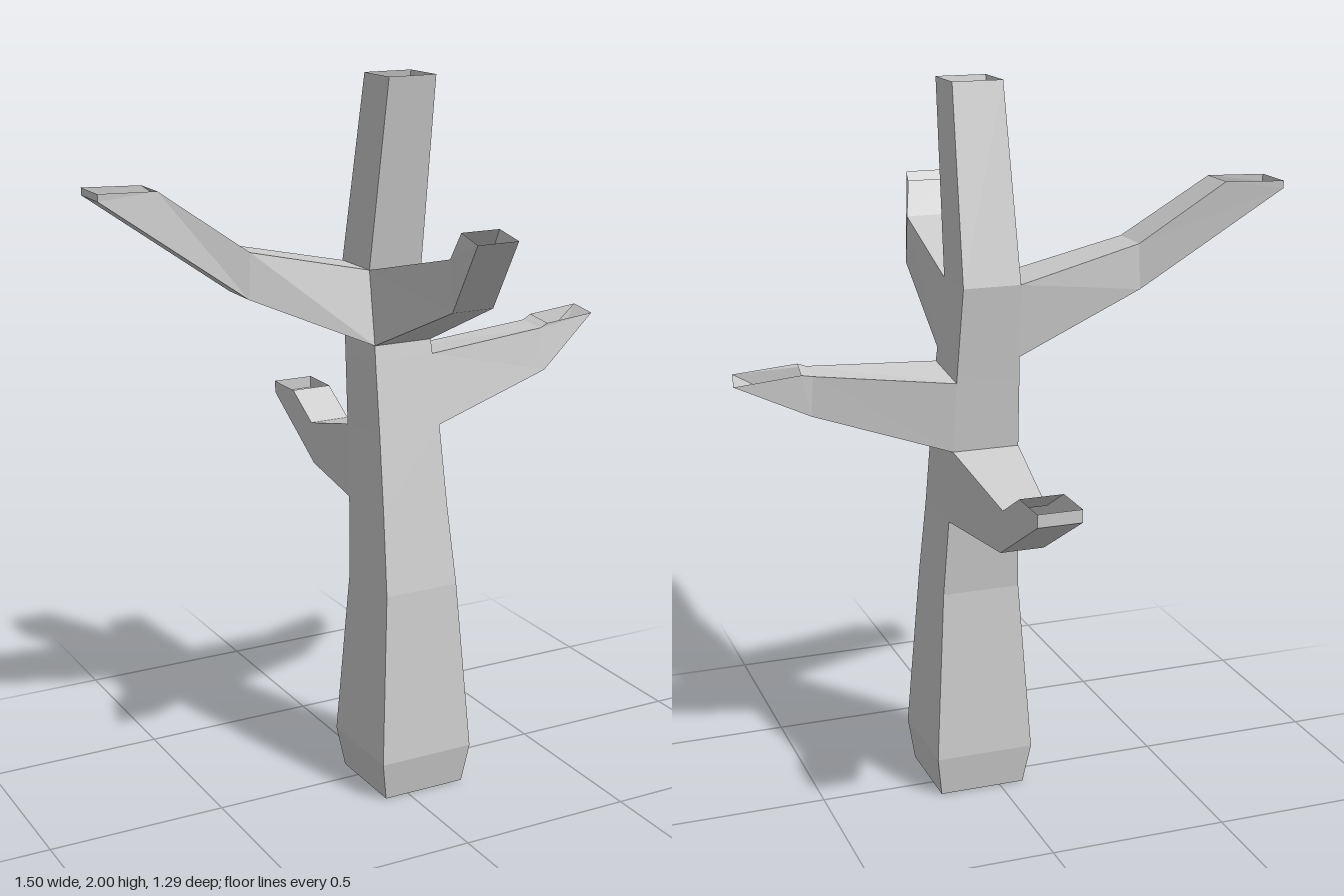
import * as THREE from 'three';

// Skin a chain of four-cornered rings (corners counter-clockwise seen from the far end).
// skip(i, s) leaves out side s of segment i; cap closes the first ring.
function loft(name, rings, material, { skip = () => false, cap = false } = {}) {
  const pos = [];
  const quad = (a, b, c, d) => pos.push(...a, ...b, ...c, ...a, ...c, ...d);
  for (let i = 0; i < rings.length - 1; i++) {
    for (let s = 0; s < 4; s++) {
      if (skip(i, s)) continue;
      const t = (s + 1) % 4;
      quad(rings[i][s], rings[i][t], rings[i + 1][t], rings[i + 1][s]);
    }
  }
  if (cap) quad(rings[0][3], rings[0][2], rings[0][1], rings[0][0]);
  const geo = new THREE.BufferGeometry();
  geo.setAttribute('position', new THREE.Float32BufferAttribute(pos, 3));
  geo.computeVertexNormals();
  const mesh = new THREE.Mesh(geo, material);
  mesh.name = name;
  return mesh;
}

export function createModel() {
  const bark = new THREE.MeshStandardMaterial({ color: 0xcccccc, side: THREE.DoubleSide, flatShading: true });
  bark.name = 'pale grey bark';
  const tree = new THREE.Group();
  tree.name = 'bareTree';

  // Trunk rings: x min, x max, z back, z front, y back, y front
  const trunk = [
    [-0.07, 0.175, -0.08, 0.17, 0, 0],
    [-0.09, 0.19, -0.095, 0.19, 0.115, 0.115],
    [-0.06, 0.16, -0.065, 0.155, 0.6, 0.6],
    [-0.05, 0.15, -0.085, 0.118, 0.82, 0.82],
    [-0.042, 0.145, -0.108, 0.08, 1.025, 1.045],
    [-0.037, 0.14, -0.128, 0.047, 1.22, 1.24],
    [-0.035, 0.138, -0.135, 0.04, 1.28, 1.28],
    [-0.03, 0.13, -0.157, 0, 1.48, 1.48],
    [-0.02, 0.12, -0.045, 0.09, 2, 2],
  ].map(([x0, x1, z0, z1, yb, yf]) => [[x0, yf, z1], [x1, yf, z1], [x1, yb, z0], [x0, yb, z0]]);

  // Branches grow from trunk segment `seg`, side `s` (0 front, 1 left, 2 back, 3 right);
  // each ring is bottom, bottom, top, top. The ends are hollow.
  const branches = [
    { name: 'frontBranch', seg: 6, s: 0, rings: [
      [[-0.01, 1.44, 0.405], [0.11, 1.44, 0.405], [0.11, 1.575, 0.39], [-0.01, 1.575, 0.39]],
      [[-0.085, 1.66, 0.645], [0.03, 1.66, 0.645], [0.075, 1.66, 0.485], [-0.035, 1.66, 0.485]],
    ] },
    { name: 'leftBranch', seg: 4, s: 1, rings: [
      [[0.515, 1.145, 0.035], [0.525, 1.155, -0.08], [0.52, 1.265, -0.09], [0.51, 1.265, 0.02]],
      [[0.72, 1.275, -0.035], [0.745, 1.275, -0.16], [0.555, 1.275, -0.105], [0.535, 1.275, 0.015]],
    ] },
    { name: 'backBranch', seg: 3, s: 2, rings: [
      [[0.11, 0.83, -0.385], [-0.01, 0.83, -0.385], [-0.01, 0.95, -0.4], [0.11, 0.95, -0.4]],
      [[0.11, 0.985, -0.645], [-0.01, 0.985, -0.645], [-0.01, 1.02, -0.52], [0.11, 1.02, -0.52]],
      [[0.11, 1.02, -0.645], [-0.01, 1.02, -0.645], [-0.01, 1.02, -0.52], [0.11, 1.02, -0.52]],
    ] },
    { name: 'rightBranch', seg: 6, s: 3, rings: [
      [[-0.385, 1.435, -0.125], [-0.385, 1.435, 0], [-0.38, 1.56, 0], [-0.38, 1.56, -0.125]],
      [[-0.75, 1.705, -0.23], [-0.75, 1.705, -0.11], [-0.6, 1.725, -0.08], [-0.6, 1.725, -0.19]],
      [[-0.75, 1.725, -0.23], [-0.75, 1.725, -0.11], [-0.6, 1.725, -0.08], [-0.6, 1.725, -0.19]],
    ] },
  ];

  // Trunk, with openings where the branches join
  const skip = (i, s) => branches.some((b) => b.seg === i && b.s === s);
  tree.add(loft('trunk', trunk, bark, { skip, cap: true }));

  for (const { name, seg, s, rings } of branches) {
    const t = (s + 1) % 4, lo = trunk[seg], hi = trunk[seg + 1];
    tree.add(loft(name, [[lo[s], lo[t], hi[t], hi[s]], ...rings], bark));
  }
  return tree;
}
